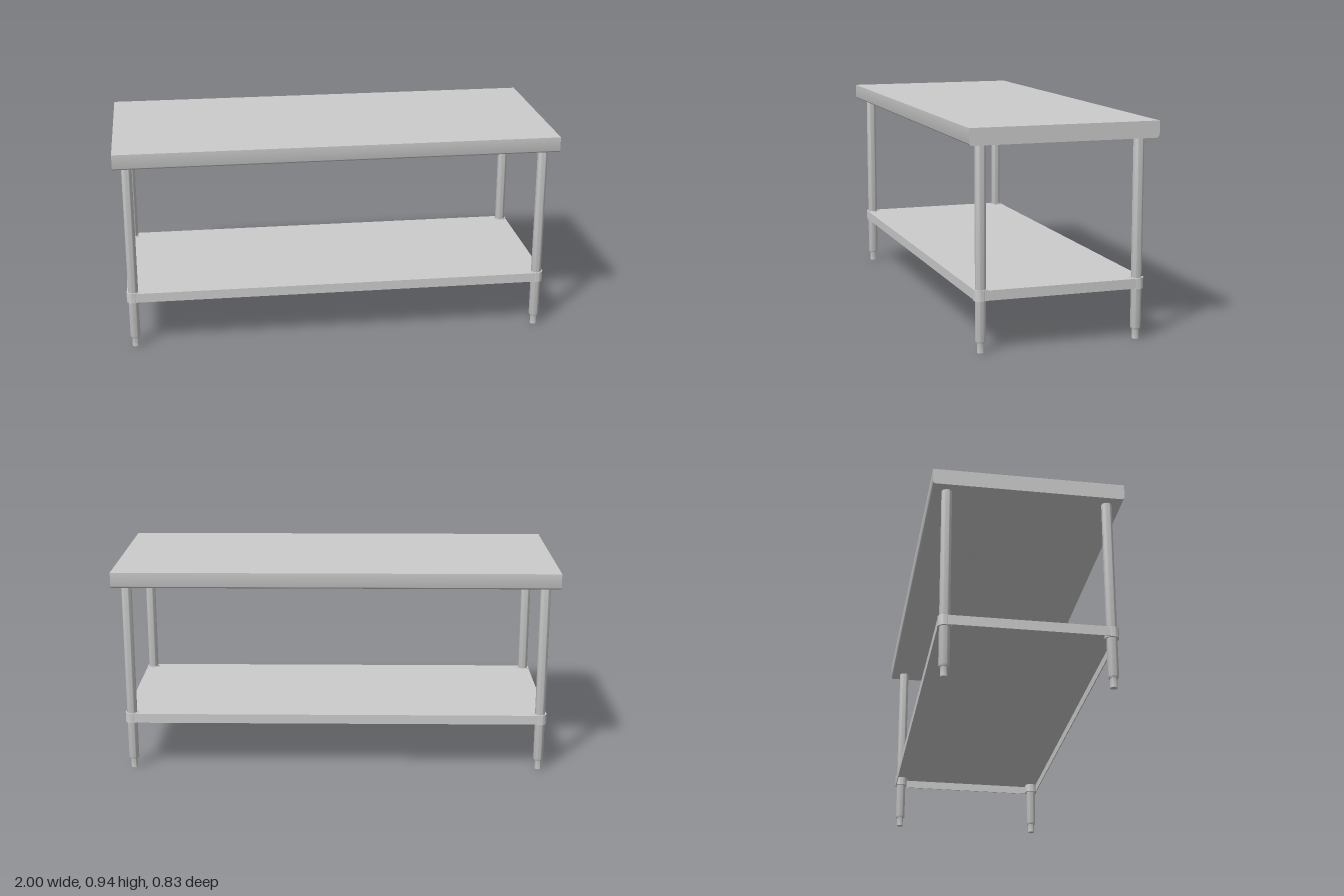
import * as THREE from 'three';
import { toCreasedNormals } from 'three/addons/utils/BufferGeometryUtils.js';

const steel = new THREE.MeshStandardMaterial({ color: 0xcccccc });
const LEG_X = 0.94, LEG_Z = 0.35;

function part(name, geometry, parent) {
  const mesh = new THREE.Mesh(toCreasedNormals(geometry, 0.6), steel);
  mesh.name = name;
  parent.add(mesh);
  return mesh;
}

// Rounded rectangle outline, centred on the origin
function roundedRect(Type, hx, hz, r) {
  const s = new Type();
  s.absarc(hx - r, hz - r, r, 0, Math.PI / 2);
  s.absarc(-hx + r, hz - r, r, Math.PI / 2, Math.PI);
  s.absarc(-hx + r, -hz + r, r, Math.PI, Math.PI * 1.5);
  s.absarc(hx - r, -hz + r, r, Math.PI * 1.5, Math.PI * 2);
  s.closePath();
  return s;
}

// Extrude a plan outline upwards from y0 to y1
function slab(shape, y0, y1) {
  const g = new THREE.ExtrudeGeometry(shape, { depth: y1 - y0, bevelEnabled: false, curveSegments: 10 });
  return g.rotateX(-Math.PI / 2).translate(0, y0, 0);
}

export function createModel() {
  const table = new THREE.Group();
  table.name = 'workTable';

  // Worktop: end profile with rounded lower front and back edges
  const hz = 0.417, y0 = 0.873, y1 = 0.945, r = 0.014;
  const profile = new THREE.Shape();
  profile.moveTo(hz, y1);
  profile.lineTo(-hz, y1);
  profile.lineTo(-hz, y0 + r);
  profile.absarc(-hz + r, y0 + r, r, Math.PI, Math.PI * 1.5);
  profile.lineTo(hz - r, y0);
  profile.absarc(hz - r, y0 + r, r, Math.PI * 1.5, Math.PI * 2);
  profile.closePath();
  const top = new THREE.ExtrudeGeometry(profile, { depth: 2, bevelEnabled: false, curveSegments: 6 });
  part('worktop', top.translate(0, 0, -1).rotateY(Math.PI / 2), table);

  // Lower shelf: thin sheet with a folded skirt, open underneath
  const shelf = new THREE.Group();
  shelf.name = 'lowerShelf';
  table.add(shelf);
  part('shelfSheet', slab(roundedRect(THREE.Shape, 0.968, 0.378, 0.028), 0.263, 0.268), shelf);
  const skirt = roundedRect(THREE.Shape, 0.968, 0.378, 0.028);
  skirt.holes.push(roundedRect(THREE.Path, 0.964, 0.374, 0.024));
  part('shelfSkirt', slab(skirt, 0.225, 0.263), shelf);

  // Legs with tapered ends, adjustable feet and shelf collars
  const legProfile = [
    [0, 0], [0.015, 0], [0.015, 0.043], [0.019, 0.043], [0.023, 0.05], [0.023, 0.874]
  ].map(([x, y]) => new THREE.Vector2(x, y));
  const collarProfile = [
    [0.022, 0.223], [0.03, 0.223], [0.03, 0.27], [0.022, 0.27]
  ].map(([x, y]) => new THREE.Vector2(x, y));
  for (const sx of [1, -1]) {
    for (const sz of [1, -1]) {
      const leg = new THREE.Group();
      leg.name = (sz > 0 ? 'front' : 'back') + (sx > 0 ? 'Left' : 'Right') + 'Leg';
      leg.position.set(sx * LEG_X, 0, sz * LEG_Z);
      part('legTube', new THREE.LatheGeometry(legProfile, 32), leg);
      part('shelfCollar', new THREE.LatheGeometry(collarProfile, 32), leg);
      table.add(leg);
    }
  }
  return table;
}
